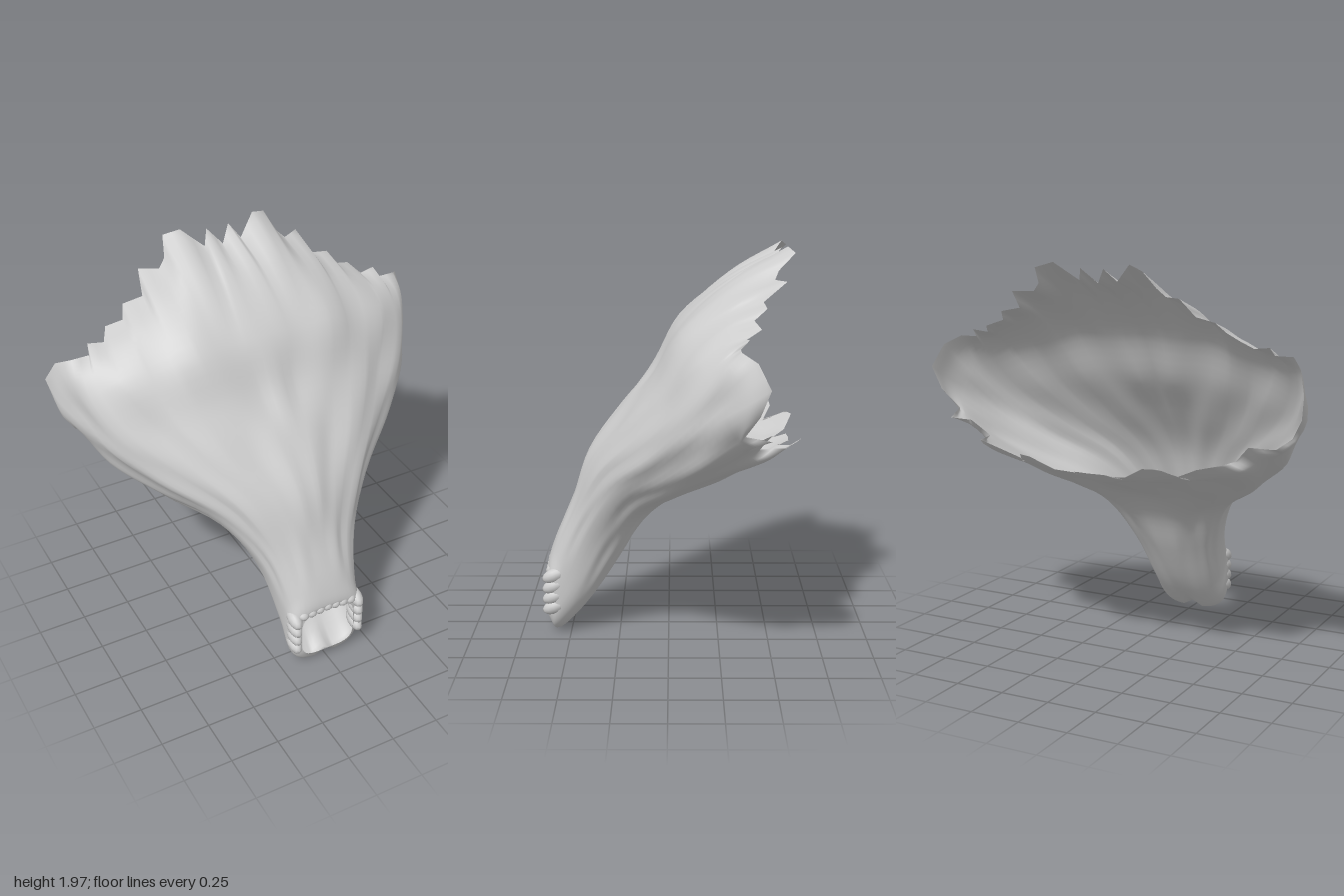
import * as THREE from 'three';

const material = new THREE.MeshStandardMaterial({ color: 0xcccccc, side: THREE.DoubleSide });

// Rings from neck to flare: front [y, z], side [x, y, z], back [y, z],
// and the roundness of the front and back halves
const RINGS = [
  { f: [0.335, 0.61], s: [0.15, 0.20, 0.615], b: [0.065, 0.615], e: [0.5, 0.5] },
  { f: [0.37, 0.615], s: [0.20, 0.20, 0.58], b: [0.005, 0.575], e: [0.65, 0.65] },
  { f: [0.47, 0.585], s: [0.207, 0.32, 0.51], b: [0.14, 0.42], e: [0.75, 0.7] },
  { f: [0.68, 0.495], s: [0.26, 0.57, 0.40], b: [0.42, 0.235], e: [0.9, 0.75] },
  { f: [0.93, 0.4], s: [0.41, 0.81, 0.25], b: [0.63, 0.105], e: [1.02, 0.8] },
  { f: [1.17, 0.235], s: [0.66, 0.99, 0.05], b: [0.76, -0.05], e: [1.06, 0.82] },
  { f: [1.37, 0.085], s: [0.83, 1.14, -0.09], b: [0.86, -0.25], e: [1.08, 0.85] },
  { f: [1.60, -0.045], s: [0.935, 1.29, -0.25], b: [0.93, -0.42], e: [1.06, 0.9] },
];

// Ragged rim of the left half, front to back: [angle, x, y, z]
const RIM = [
  [0, 0, 1.88, -0.5], [7, 0.06, 1.95, -0.56], [10, 0.1, 1.89, -0.5],
  [14, 0.2, 1.975, -0.57], [18, 0.28, 1.95, -0.6], [21, 0.31, 1.87, -0.52],
  [24, 0.35, 1.83, -0.5], [30, 0.44, 1.83, -0.55], [33, 0.47, 1.74, -0.44],
  [40, 0.57, 1.72, -0.45], [43, 0.6, 1.67, -0.39], [50, 0.68, 1.64, -0.42],
  [53, 0.72, 1.6, -0.35], [60, 0.8, 1.61, -0.36], [63, 0.81, 1.57, -0.32],
  [70, 0.9, 1.57, -0.32], [78, 0.96, 1.53, -0.39], [90, 1, 1.42, -0.445],
  [100, 0.975, 1.3, -0.4], [107, 0.91, 1.2, -0.34], [112, 0.88, 1.17, -0.46],
  [118, 0.83, 1.15, -0.38], [124, 0.75, 1.17, -0.47], [130, 0.67, 1.09, -0.42],
  [135, 0.65, 1.09, -0.54], [142, 0.53, 1.06, -0.55], [148, 0.4, 1.0, -0.5],
  [152, 0.37, 1.06, -0.62], [158, 0.3, 1.06, -0.645], [164, 0.19, 1.0, -0.6],
  [169, 0.1, 0.98, -0.54], [173, 0.08, 1.0, -0.6], [180, 0, 1.0, -0.605],
];

// Point on a ring, with shallow uneven folds on the flare
function ringPoint(ring, index, angle) {
  const { f, s, b, e } = ring;
  const c = Math.cos(angle);
  const [end, power] = c > 0 ? [f, e[0]] : [b, e[1]];
  const k = Math.pow(Math.abs(c), power);
  const x = s[0] * Math.pow(Math.max(0, Math.sin(angle)), power);
  const p = new THREE.Vector3(x, s[1] + (end[0] - s[1]) * k, s[2] + (end[1] - s[2]) * k);
  const wave = Math.cos(angle * 9 + index * 1.3) + 0.7 * Math.cos(angle * 16 - index * 1.9);
  const fold = index < 3 ? 0 : 0.002 * (index - 1) * wave;
  const center = new THREE.Vector3(0, s[1], s[2]);
  p.addScaledVector(p.clone().sub(center).normalize(), fold);
  if (angle === 0 || angle > 3.14) p.x = 0;
  // small notch under the neck
  if (index === 1 && c < 0) p.y += 0.035 * Math.max(0, 1 - p.x / 0.06);
  return p;
}

// One lengthwise curve from the neck lip to the rim
function column([degrees, x, y, z], rows) {
  const angle = THREE.MathUtils.degToRad(degrees);
  const points = RINGS.map((ring, i) => ringPoint(ring, i, angle));
  const tip = new THREE.Vector3(x, y, z);
  // bowed outward just before the rim, most along the upper edge
  const bow = points[points.length - 1].clone().lerp(tip, 0.5);
  bow.y += 0.045 * Math.max(0, Math.cos(angle)) - 0.01 * Math.max(0, -Math.cos(angle));
  bow.x += 0.015 * Math.sin(angle);
  points.push(bow, tip);
  const curve = new THREE.CatmullRomCurve3(points, false, 'centripetal');
  return Array.from({ length: rows + 1 }, (_, i) => curve.getPoint(i / rows));
}

function funnelGeometry() {
  const rows = 45, half = [];
  RIM.forEach((r, i) => {
    half.push(column(r, rows));
    const next = RIM[i + 1];
    if (next) half.push(column(r.map((v, k) => (v + next[k]) / 2), rows));
  });
  const mirrored = half.slice(1, -1).reverse()
    .map(col => col.map(p => new THREE.Vector3(-p.x, p.y, p.z)));
  const columns = [...half, ...mirrored];
  const positions = [], indices = [], n = rows + 1;
  columns.forEach((col, j) => {
    col.forEach(p => positions.push(p.x, p.y, p.z));
    const k = (j + 1) % columns.length;
    for (let i = 0; i < rows; i++) {
      const a = j * n + i, b = k * n + i;
      indices.push(a, b, a + 1, b, b + 1, a + 1);
    }
  });
  const geometry = new THREE.BufferGeometry();
  geometry.setAttribute('position', new THREE.Float32BufferAttribute(positions, 3));
  geometry.setIndex(indices);
  geometry.computeVertexNormals();
  return geometry;
}

export function createModel() {
  const model = new THREE.Group();

  // Hollow neck opening into a wide, folded flare
  const funnel = new THREE.Mesh(funnelGeometry(), material);
  funnel.name = 'flaredNeck';
  model.add(funnel);

  // Lumps merging into the lip of the neck opening
  const lumps = new THREE.Group();
  lumps.name = 'neckLumps';
  const ball = new THREE.SphereGeometry(1, 12, 8);
  const addLump = (x, y, z, sx, sy, sz) => {
    const lump = new THREE.Mesh(ball, material);
    lump.name = 'neckLump';
    lump.position.set(x, y, z);
    lump.scale.set(sx, sy, sz);
    lump.rotation.x = 0.4;
    lumps.add(lump);
  };
  for (const side of [-1, 1]) {
    for (let i = 0; i < 4; i++) {
      addLump(side * 0.178, 0.155 + i * 0.055, 0.58, 0.034, 0.036, 0.064);
    }
  }
  for (let i = -3; i <= 3; i++) {
    addLump(i * 0.045, 0.352 - 0.004 * Math.abs(i), 0.59, 0.032, 0.026, 0.036);
  }
  model.add(lumps);
  return model;
}
